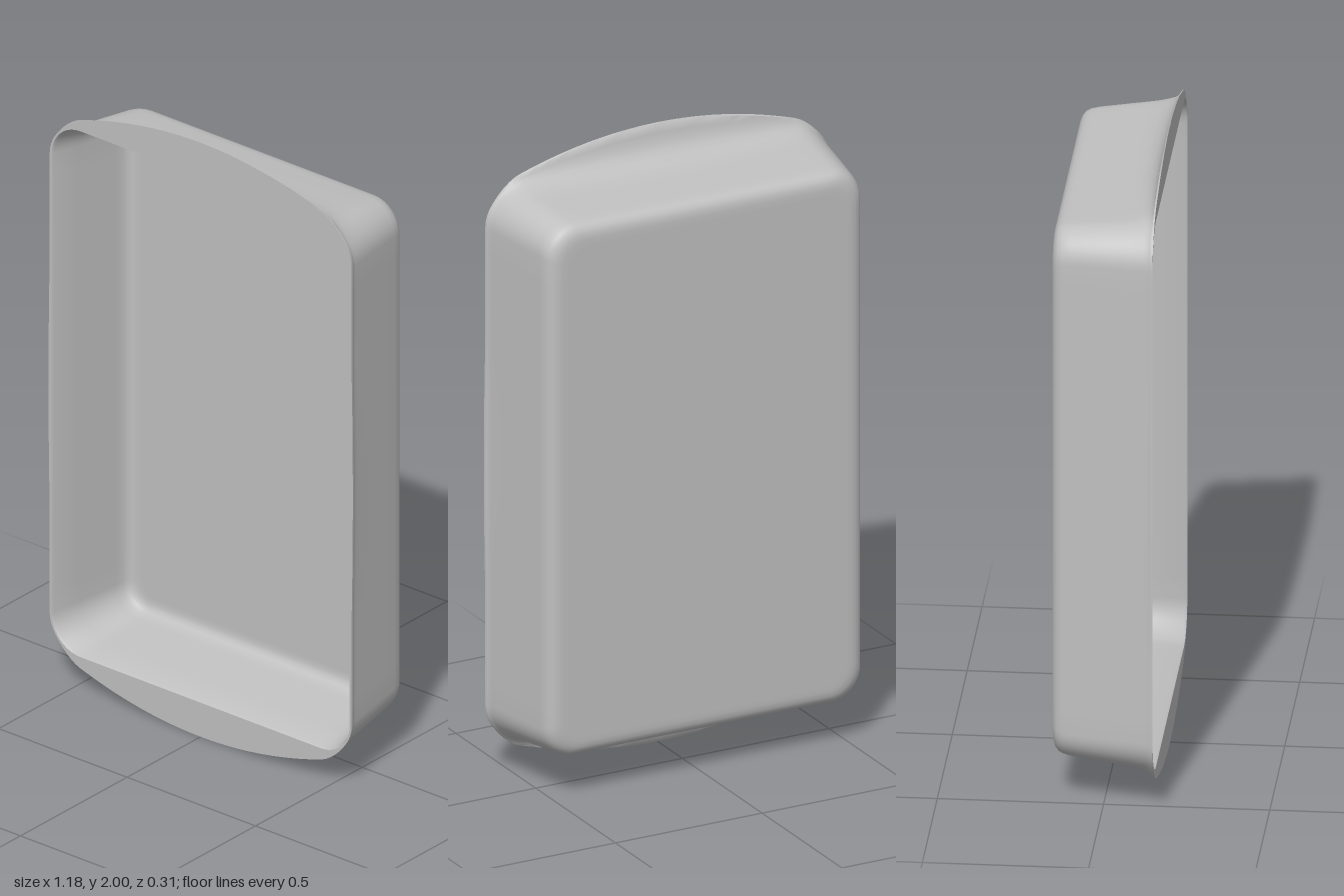
import * as THREE from 'three';
import { toCreasedNormals } from 'three/addons/utils/BufferGeometryUtils.js';

const CENTRE_Y = 1;

// Rounded rectangle, counter-clockwise from +z, with its ends bowed out into handles.
function section([z, hx, hy, r, bow = 0]) {
  const points = [];
  const corners = [[1, 1], [-1, 1], [-1, -1], [1, -1]];
  corners.forEach(([sx, sy], c) => {
    for (let i = 0; i <= 10; i++) {
      const a = (c + i / 10) * Math.PI / 2;
      points.push([sx * (hx - r) + r * Math.cos(a), sy * (hy - r) + r * Math.sin(a)]);
    }
    // Subdivide the straight edge up to the next corner
    const [nx, ny] = corners[(c + 1) % 4];
    const a = (c + 1) * Math.PI / 2;
    const from = points[points.length - 1];
    const to = [nx * (hx - r) + r * Math.cos(a), ny * (hy - r) + r * Math.sin(a)];
    for (let i = 1; i < 20; i++) {
      const t = i / 20;
      points.push([from[0] + (to[0] - from[0]) * t, from[1] + (to[1] - from[1]) * t]);
    }
  });
  return points.map(([x, y]) => {
    const end = bow * Math.max(0, 1 - (x / 0.56) ** 2);
    const side = bow * 0.04 * Math.max(0, 1 - (y / 0.4) ** 2);
    const onEnd = Math.min(1, Math.max(0, (Math.abs(y) - (hy - r)) / r));
    return [x + Math.sign(x) * side, CENTRE_Y + y + Math.sign(y) * end * onEnd, z];
  });
}

// Skin consecutive sections; capAt closes the first or last one with a flat fan.
function loft(sections, capAt) {
  const loops = sections.map(section);
  const n = loops[0].length;
  const positions = loops.flat(2);
  const index = [];
  for (let i = 0; i < loops.length - 1; i++) {
    for (let j = 0; j < n; j++) {
      const k = (j + 1) % n;
      const a = i * n + j, b = i * n + k, c = a + n, d = b + n;
      index.push(a, b, d, a, d, c);
    }
  }
  if (capAt) {
    const first = capAt === 'first';
    const base = first ? 0 : (loops.length - 1) * n;
    const centre = positions.length / 3;
    positions.push(0, CENTRE_Y, sections[first ? 0 : sections.length - 1][0]);
    for (let j = 0; j < n; j++) {
      const a = base + j, b = base + (j + 1) % n;
      index.push(centre, first ? b : a, first ? a : b);
    }
  }
  const geometry = new THREE.BufferGeometry();
  geometry.setAttribute('position', new THREE.Float32BufferAttribute(positions, 3));
  geometry.setIndex(index);
  return toCreasedNormals(geometry, 0.75);
}

export function createModel() {
  const group = new THREE.Group();
  group.name = 'bakingDish';
  const grey = new THREE.MeshStandardMaterial({ color: 0xc0c0c0 });
  grey.name = 'grey';

  const add = (name, geometry) => {
    const mesh = new THREE.Mesh(geometry, grey);
    mesh.name = name;
    group.add(mesh);
  };

  // Each section: z, half width, half height, corner radius, handle bow
  const rimOuter = [0.155, 0.588, 0.89, 0.12, 0.11];
  const rimInner = [0.155, 0.58, 0.885, 0.112];

  // Base, tapered outer wall and undersides of the flared handles
  add('outerShell', loft([
    [-0.155, 0.47, 0.79, 0.07],
    [-0.155, 0.49, 0.81, 0.08],
    [-0.153, 0.506, 0.827, 0.088],
    [-0.147, 0.521, 0.841, 0.094],
    [-0.137, 0.532, 0.851, 0.098],
    [-0.122, 0.539, 0.857, 0.1],
    [-0.1, 0.543, 0.861, 0.1],
    [0, 0.56, 0.872, 0.108],
    [0.05, 0.568, 0.877, 0.112, 0.002],
    [0.085, 0.574, 0.88, 0.115, 0.008],
    [0.11, 0.578, 0.883, 0.117, 0.02],
    [0.128, 0.581, 0.885, 0.118, 0.036],
    [0.139, 0.583, 0.887, 0.119, 0.056],
    [0.146, 0.586, 0.889, 0.12, 0.08],
    [0.15, 0.588, 0.89, 0.12, 0.105],
    rimOuter,
  ], 'first'));

  // Flat front rim, widening into the two handles
  add('rimAndHandles', loft([rimOuter, rimInner]));

  // Inner wall, fillet and floor
  add('innerShell', loft([
    rimInner,
    [0.147, 0.576, 0.881, 0.11],
    [0.05, 0.558, 0.867, 0.102],
    [-0.09, 0.534, 0.85, 0.09],
    [-0.115, 0.529, 0.846, 0.086],
    [-0.13, 0.522, 0.839, 0.08],
    [-0.139, 0.511, 0.828, 0.074],
    [-0.143, 0.498, 0.815, 0.066],
    [-0.143, 0.48, 0.797, 0.06],
  ], 'last'));

  return group;
}
